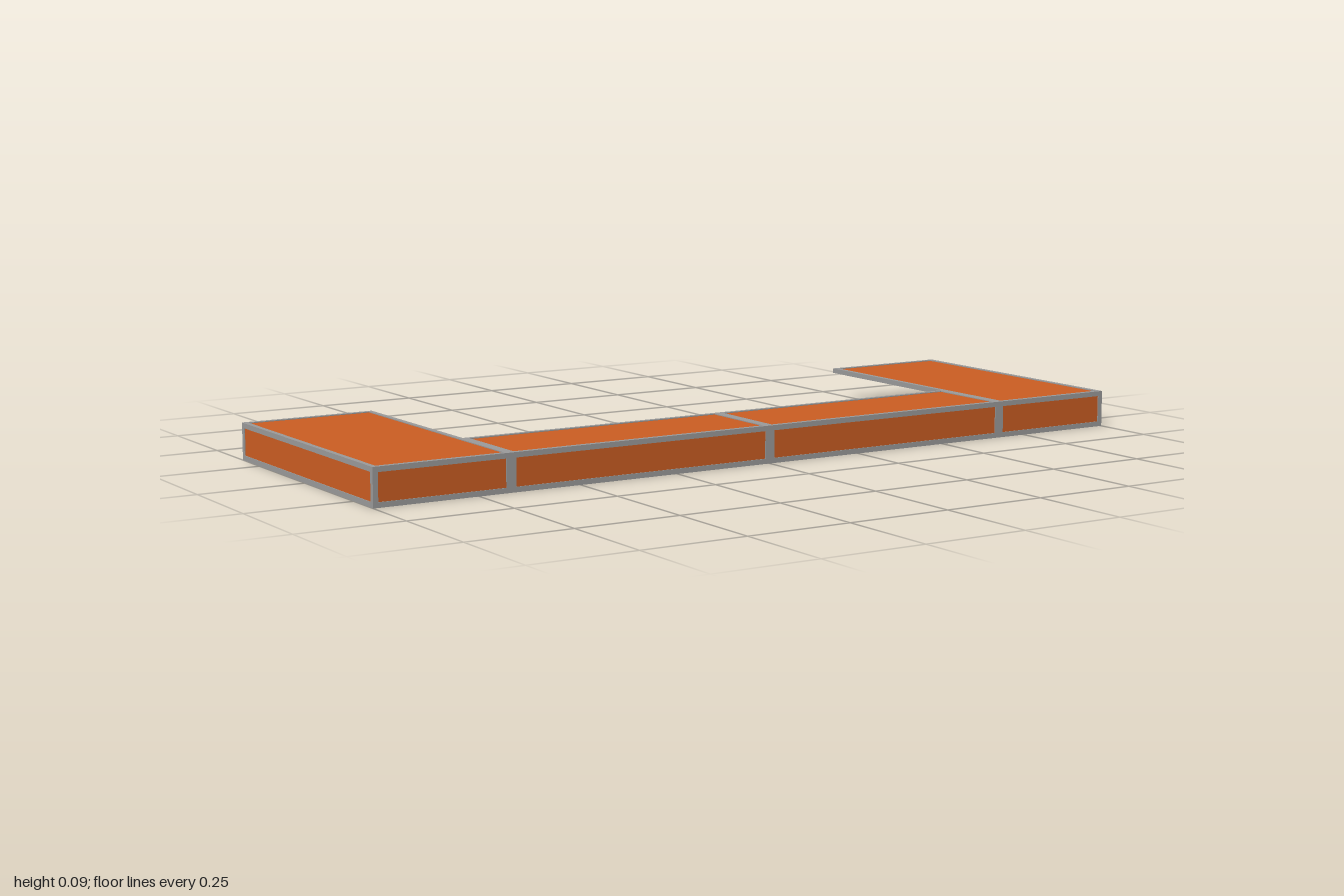
import * as THREE from 'three';

const H = 0.088;   // overall height
const T = 0.012;   // frame bar thickness
const GAP = 0.002; // panel recess behind the frame face
const P = 0.004;   // thickness of each panel skin
const FRONT = 0.345;

export function createModel() {
  const mat = (name, color) => Object.assign(new THREE.MeshStandardMaterial({ color }), { name });
  const orange = mat('orange cladding', 0xc95c22);
  const tan = mat('tan lining', 0xa0703c);
  const grey = mat('grey frame', 0x999999);

  // Box given by its minimum and maximum corners
  function box(parent, name, material, [x0, y0, z0], [x1, y1, z1]) {
    const mesh = new THREE.Mesh(new THREE.BoxGeometry(x1 - x0, y1 - y0, z1 - z0), material);
    mesh.position.set((x0 + x1) / 2, (y0 + y1) / 2, (z0 + z1) / 2);
    mesh.name = name;
    parent.add(mesh);
  }

  // One framed canopy section; side is -1 or 1 for an end fascia, 0 for none
  function section(name, x0, x1, z0, side) {
    const g = new THREE.Group();
    g.name = name;
    const z1 = FRONT, B = H - T;

    // Roof frame
    box(g, 'roofFrameBack', grey, [x0, B, z0], [x1, H, z0 + T]);
    box(g, 'roofFrameFront', grey, [x0, B, z1 - T], [x1, H, z1]);
    for (const x of [x0, x1 - T]) {
      box(g, 'roofFrameSide', grey, [x, B, z0 + T], [x + T, H, z1 - T]);
      box(g, 'frontPost', grey, [x, 0, z1 - T], [x + T, B, z1]);
    }
    box(g, 'frontRail', grey, [x0 + T, 0, z1 - T], [x1 - T, T, z1]);

    // Roof and front panels, each with an outer skin and an inner lining
    const yo = H - GAP, zo = z1 - GAP;
    box(g, 'roofPanel', orange, [x0 + T, yo - P, z0 + T], [x1 - T, yo, z1 - T]);
    box(g, 'roofLining', tan, [x0 + T, yo - 2 * P, z0 + T], [x1 - T, yo - P, z1 - T]);
    box(g, 'frontPanel', orange, [x0 + T, T, zo - P], [x1 - T, B, zo]);
    box(g, 'frontLining', tan, [x0 + T, T, zo - 2 * P], [x1 - T, B, zo - P]);

    // End fascia on the outer side of a wing
    if (side) {
      const edge = side > 0 ? x1 : x0;
      const slab = (n, m, y0, y1, za, zb, d0, d1) => {
        const a = edge - side * d0, b = edge - side * d1;
        box(g, n, m, [Math.min(a, b), y0, za], [Math.max(a, b), y1, zb]);
      };
      slab('sideRail', grey, 0, T, z0, z1 - T, 0, T);
      slab('sidePost', grey, T, B, z0, z0 + T, 0, T);
      slab('sidePanel', orange, T, B, z0 + T, z1 - T, GAP, GAP + P);
      slab('sideLining', tan, T, B, z0 + T, z1 - T, GAP + P, GAP + 2 * P);
    }
    return g;
  }

  const model = new THREE.Group();
  model.name = 'canopy';
  model.add(
    section('rightWing', -1, -0.672, -FRONT, -1),
    section('rightSpan', -0.672, 0, 0.12, 0),
    section('leftSpan', 0, 0.672, 0.12, 0),
    section('leftWing', 0.672, 1, -FRONT, 1),
  );
  return model;
}
